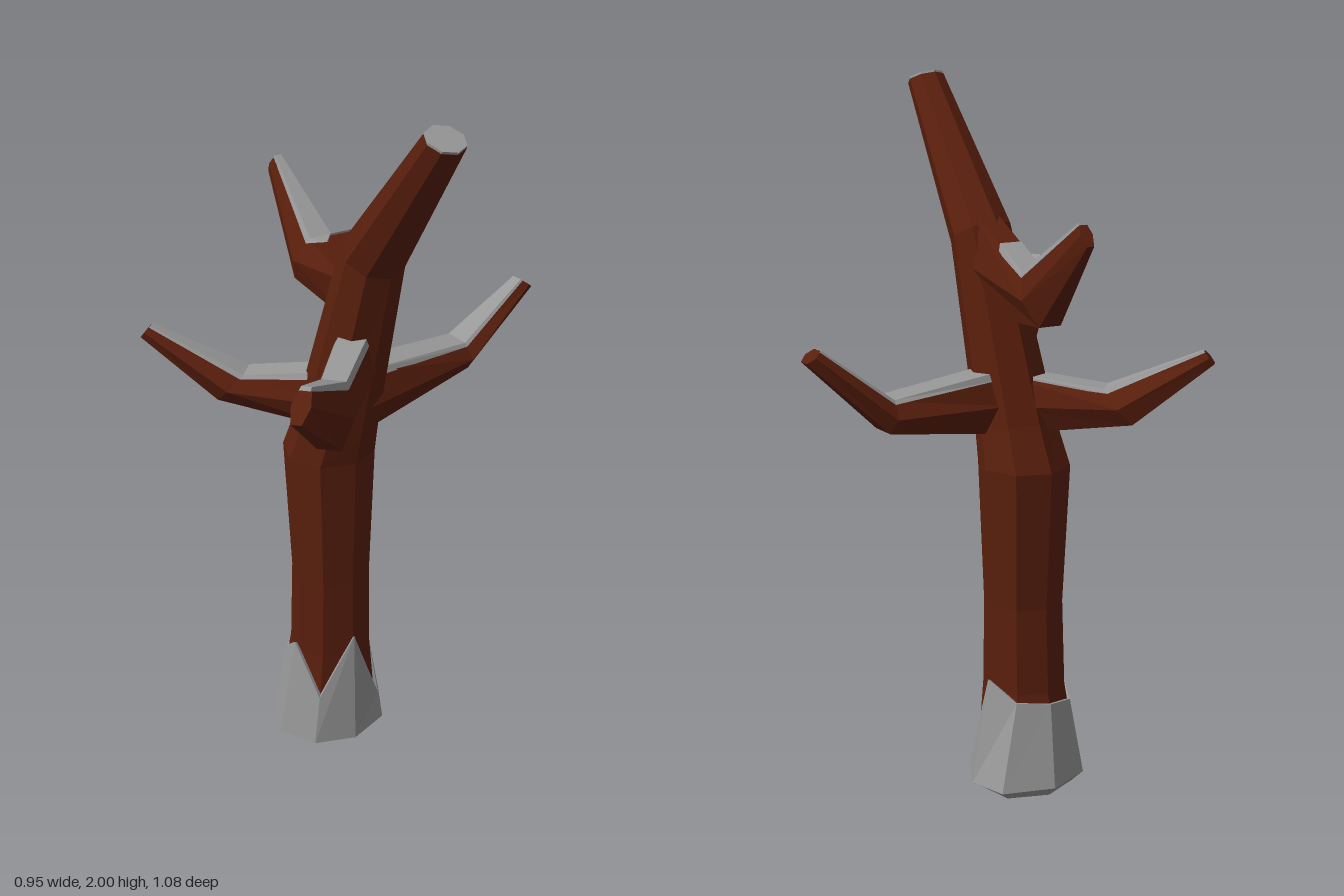
import * as THREE from 'three';

const bark = new THREE.MeshStandardMaterial({ color: 0x5a1f0d, flatShading: true });
const grey = new THREE.MeshStandardMaterial({ color: 0x989898, flatShading: true });
const V = (p) => new THREE.Vector3(...p);

// Skin a closed solid over rings of points (each ring turns about the forward axis)
function loft(name, rings, material) {
  const n = rings[0].length, pos = [], index = [];
  rings.forEach((ring) => ring.forEach((p) => pos.push(p.x, p.y, p.z)));
  for (let i = 0; i < rings.length - 1; i++) {
    for (let j = 0; j < n; j++) {
      const a = i * n + j, b = i * n + (j + 1) % n;
      index.push(a, b, b + n, a, b + n, a + n);
    }
  }
  // End caps as fans around each ring's centre
  [0, rings.length - 1].forEach((i) => {
    const c = new THREE.Vector3();
    rings[i].forEach((p) => c.addScaledVector(p, 1 / n));
    const k = pos.length / 3;
    pos.push(c.x, c.y, c.z);
    for (let j = 0; j < n; j++) {
      const a = i * n + j, b = i * n + (j + 1) % n;
      if (i === 0) index.push(k, b, a); else index.push(k, a, b);
    }
  });
  const geo = new THREE.BufferGeometry();
  geo.setAttribute('position', new THREE.Float32BufferAttribute(pos, 3));
  geo.setIndex(index);
  geo.computeVertexNormals();
  const mesh = new THREE.Mesh(geo, material);
  mesh.name = name;
  return mesh;
}

// One corner of an eight-sided trunk ring, tilted sideways; corner 0 faces front
function corner(j, x, y, z, r, tilt = 0) {
  const a = j * Math.PI / 4, s = Math.sin(a) * r;
  return new THREE.Vector3(x + s * Math.cos(tilt), y - s * Math.sin(tilt), z + Math.cos(a) * r);
}
const sides = [0, 1, 2, 3, 4, 5, 6, 7];
const octagon = (...ring) => sides.map((j) => corner(j, ...ring));

// Cross-sections as [sideways, up] factors
const HEX = [[1, 0], [0.55, 1], [-0.55, 1], [-1, 0], [-0.55, -1], [0.55, -1]];
const STRIP = [[0.66, 0.82], [0.54, 1.06], [-0.54, 1.06], [-0.66, 0.82]];

// Branch from stations of [top point, bottom point, width], with a grey strip on top
function branch(name, stations, stripStart) {
  const st = stations.map(([t, b, w]) => ({ t: V(t), b: V(b), w }));
  const heading = st[2].t.clone().sub(st[0].t).setY(0).normalize();
  const side = new THREE.Vector3(0, 1, 0).cross(heading);
  const ring = ({ t, b, w }, profile) => {
    const mid = t.clone().add(b).multiplyScalar(0.5);
    const up = t.clone().sub(mid);
    return profile.map(([s, u]) => mid.clone().addScaledVector(side, s * w / 2).addScaledVector(up, u));
  };
  const start = {
    t: st[0].t.clone().lerp(st[1].t, stripStart),
    b: st[0].b.clone().lerp(st[1].b, stripStart),
    w: THREE.MathUtils.lerp(st[0].w, st[1].w, stripStart),
  };
  const group = new THREE.Group();
  group.name = name;
  group.add(
    loft(name + 'Wood', st.map((s) => ring(s, HEX)), bark),
    loft(name + 'TopStrip', [start, st[1], st[2]].map((s) => ring(s, STRIP)), grey),
  );
  return group;
}

export function createModel() {
  const tree = new THREE.Group();
  tree.name = 'bareTree';

  // Leaning trunk: x, y, z, radius, tilt
  tree.add(loft('trunk', [
    octagon(-0.1, 0.03, 0.1, 0.15),
    octagon(-0.077, 0.3, 0.1, 0.118),
    octagon(-0.07, 0.55, 0.1, 0.113),
    octagon(-0.07, 0.95, 0.1, 0.13),
    octagon(-0.035, 1.06, 0.095, 0.115, 0.15),
    octagon(0.1, 1.575, 0.07, 0.087, 0.5),
    octagon(0.424, 1.973, 0.102, 0.053, 0.4),
  ], bark));

  // Grey cut face at the trunk's tip
  tree.add(loft('trunkTip', [
    octagon(0.424, 1.973, 0.102, 0.052, 0.4),
    octagon(0.427, 1.979, 0.102, 0.052, 0.4),
  ], grey));

  // Uneven flared grey foot with a ragged upper edge; outline as [x, z]
  const outline = [[-0.08, 0.28], [0.02, 0.225], [0.065, 0.11], [0.03, -0.015],
    [-0.08, -0.08], [-0.2, -0.06], [-0.26, 0.08], [-0.215, 0.215]];
  const heights = [0.33, 0.17, 0.37, 0.1, 0.33, 0.28, 0.27, 0.25];
  tree.add(loft('foot', [
    outline.map(([x, z]) => V([-0.1 + (x + 0.1) * 0.8, 0, 0.1 + (z - 0.1) * 0.8])),
    outline.map(([x, z]) => V([x, 0.025 - 0.06 * (x + 0.1), z])),
    sides.map((j) => {
      const k = Math.min(1, (heights[j] - 0.03) / 0.27);
      return corner(j, -0.1 + 0.023 * k, heights[j], 0.1, 0.165 - 0.04 * k);
    }),
  ], grey));

  // Four branches
  tree.add(
    branch('upperRightBranch', [
      [[0.08, 1.64, 0.065], [0.08, 1.36, 0.065], 0.12],
      [[-0.2, 1.515, 0.03], [-0.27, 1.38, 0.035], 0.12],
      [[-0.44, 1.675, 0.005], [-0.475, 1.62, 0.005], 0.035],
    ], 0.57),
    branch('frontRightBranch', [
      [[0, 1.21, 0.06], [0.01, 1.03, 0.06], 0.14],
      [[-0.22, 1.175, 0.27], [-0.29, 1.085, 0.31], 0.13],
      [[-0.41, 1.29, 0.45], [-0.43, 1.255, 0.47], 0.04],
    ], 0),
    branch('frontLeftBranch', [
      [[0.03, 1.365, 0.06], [-0.01, 1.155, 0.065], 0.15],
      [[0.235, 1.33, 0.29], [0.27, 1.165, 0.33], 0.12],
      [[0.39, 1.435, 0.475], [0.43, 1.37, 0.533], 0.05],
    ], 0),
    branch('backBranch', [
      [[0, 1.21, 0.04], [0, 1.035, 0.06], 0.16],
      [[-0.02, 1.185, -0.31], [-0.03, 1.1, -0.33], 0.14],
      [[0.01, 1.335, -0.5], [0.01, 1.305, -0.54], 0.06],
    ], 0),
  );
  return tree;
}
